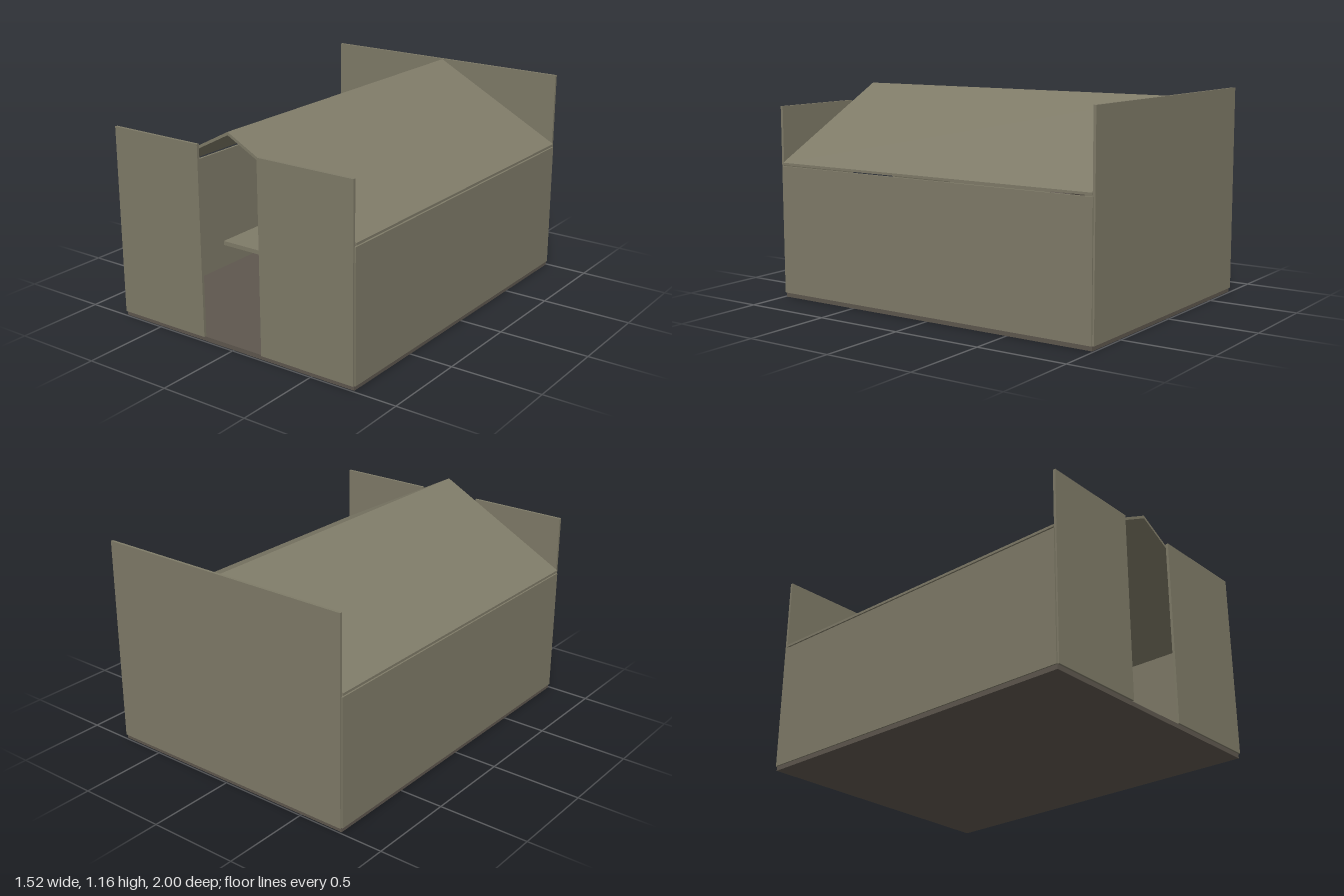
import * as THREE from 'three';

export function createModel() {
  const model = new THREE.Group();
  model.name = 'shelter';
  const mat = (name, color) => Object.assign(new THREE.MeshStandardMaterial({ color }), { name });
  const olive = mat('olive panel', 0x7f7b68);
  const brown = mat('dark brown', 0x5e574e);
  const charcoal = mat('charcoal', 0x45413b);

  const add = (name, geo, material, parent = model) => {
    const mesh = new THREE.Mesh(geo, material);
    mesh.name = name;
    parent.add(mesh);
    return mesh;
  };
  // Box given by its low and high corners
  const box = (name, material, x0, x1, y0, y1, z0, z1, parent = model) => {
    const mesh = add(name, new THREE.BoxGeometry(x1 - x0, y1 - y0, z1 - z0), material, parent);
    mesh.position.set((x0 + x1) / 2, (y0 + y1) / 2, (z0 + z1) / 2);
    return mesh;
  };
  // Tapered round limb between two points
  const limb = (name, material, a, b, ra, rb, parent) => {
    const from = new THREE.Vector3(...a), to = new THREE.Vector3(...b);
    const dir = to.clone().sub(from);
    const mesh = add(name, new THREE.CylinderGeometry(rb, ra, dir.length(), 16), material, parent);
    mesh.position.copy(from).add(to).multiplyScalar(0.5);
    mesh.quaternion.setFromUnitVectors(new THREE.Vector3(0, 1, 0), dir.normalize());
    return mesh;
  };

  // Floor and walls
  box('floor', brown, -0.755, 0.755, 0, 0.025, -0.99, 0.99);
  box('backWall', olive, -0.755, 0.755, 0.025, 1.16, -1, -0.985);
  for (const s of [-1, 1]) {
    const side = s > 0 ? 'left' : 'right';
    const inner = s * 0.748, outer = s * 0.762;
    box(side + 'Wall', olive, Math.min(inner, outer), Math.max(inner, outer), 0.025, 0.735, -0.99, 0.99);
    const a = s * 0.19, b = s * 0.755;
    box(side + 'FrontPanel', olive, Math.min(a, b), Math.max(a, b), 0.025, 1.065, 0.985, 1);
  }

  // Gable roof: a thin chevron pushed along the length
  const chevron = new THREE.Shape([
    [-0.762, 0.742], [0, 1.14], [0.762, 0.742], [0.762, 0.755], [0, 1.157], [-0.762, 0.755],
  ].map(p => new THREE.Vector2(...p)));
  const roof = add('roof', new THREE.ExtrudeGeometry(chevron, { depth: 1.97, bevelEnabled: false }), olive);
  roof.position.z = -0.985;

  // Shelf fixed to the inside of one wall
  box('wallBench', olive, -0.748, -0.46, 0.16, 0.185, -0.6, 0.2);

  // Pedestal with a short post
  box('pedestal', brown, -0.105, 0.105, 0.025, 0.225, -0.12, 0.1);
  box('pedestalPost', olive, -0.016, 0.016, 0.225, 0.265, -0.03, 0.01);

  // Work table with an upright open frame behind it
  const table = new THREE.Group();
  table.name = 'workTable';
  model.add(table);
  box('tableTop', olive, -0.2, 0.2, 0.35, 0.37, -0.5, -0.4, table);
  box('lowerRail', brown, -0.2, 0.2, 0.238, 0.258, -0.56, -0.5, table);
  box('basePlinth', brown, -0.2, 0.2, 0.025, 0.1, -0.7, -0.6, table);
  box('floorBlock', charcoal, -0.19, -0.14, 0.025, 0.065, -0.55, -0.45, table);
  box('lowerPanel', brown, -0.17, 0.17, 0.28, 0.35, -0.57, -0.55, table);
  for (const s of [-1, 1]) {
    box('framePost', brown, s * 0.16 - 0.018, s * 0.16 + 0.018, 0.258, 0.5, -0.58, -0.54, table);
    box('tableLeg', brown, s * 0.19 - 0.01, s * 0.19 + 0.01, 0.025, 0.35, -0.59, -0.57, table);
  }
  box('frameTop', brown, -0.178, 0.178, 0.475, 0.5, -0.58, -0.54, table);

  // Figure leaning over the table
  const figure = new THREE.Group();
  figure.name = 'leaningFigure';
  model.add(figure);
  const z = -0.295;
  limb('torso', brown, [-0.33, 0.42, z], [-0.075, 0.64, z], 0.065, 0.075, figure);
  add('head', new THREE.SphereGeometry(0.052, 20, 14), olive, figure).position.set(-0.025, 0.703, z);
  limb('nose', olive, [0.01, 0.68, z], [0.02, 0.655, z], 0.012, 0.003, figure);
  const arms = [
    [[-0.14, 0.635], [-0.14, 0.49], [-0.12, 0.34], z + 0.085],
    [[-0.01, 0.63], [0.02, 0.49], [0.06, 0.36], z - 0.085],
  ];
  for (const [shoulder, elbow, hand, az] of arms) {
    limb('upperArm', brown, [...shoulder, az], [...elbow, az], 0.026, 0.022, figure);
    limb('forearm', brown, [...elbow, az], [...hand, az], 0.022, 0.017, figure);
    add('hand', new THREE.SphereGeometry(0.018, 12, 8), brown, figure).position.set(...hand, az);
  }
  for (const s of [-1, 1]) {
    limb('thigh', brown, [-0.33, 0.42, z + s * 0.04], [-0.31, 0.23, z + s * 0.045], 0.04, 0.033, figure);
    limb('shin', brown, [-0.31, 0.23, z + s * 0.045], [-0.34, 0.03, z + s * 0.045], 0.033, 0.025, figure);
    box('foot', charcoal, -0.37, -0.26, 0.025, 0.055, z + s * 0.045 - 0.022, z + s * 0.045 + 0.022, figure);
  }
  const heldBox = box('heldBox', charcoal, 0.05, 0.12, 0.275, 0.395, z - 0.115, z - 0.035, figure);
  heldBox.rotation.z = 0.28;

  return model;
}
